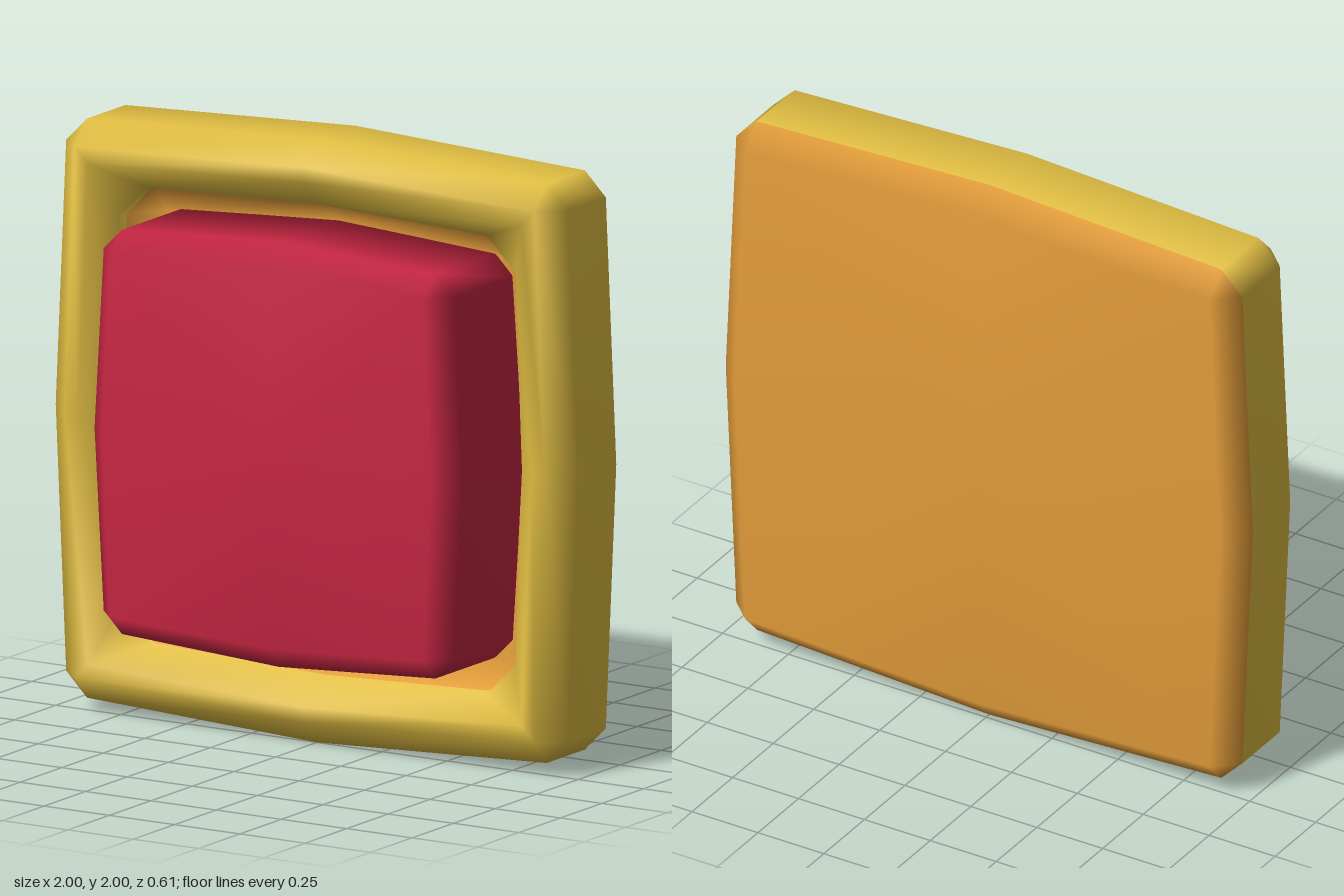
import * as THREE from 'three';
import { mergeVertices } from 'three/addons/utils/BufferGeometryUtils.js';

// Cross-section [mid, a, b, z]: side midpoint at mid, cut corner from (a, b) to (b, a)
function ringPoints([mid, a, b, z]) {
  const pts = [];
  for (let q = 0; q < 4; q++) {
    const c = [1, 0, -1, 0][q], s = [0, 1, 0, -1][q];
    for (const [x, y] of [[mid, 0], [a, b], [b, a]]) pts.push(x * c - y * s, x * s + y * c, z);
  }
  return pts;
}

// Joins the sections into one smooth skin; mats[i] is the material of band i
function loft(sections, mats) {
  const n = 12, index = [];
  const geo = new THREE.BufferGeometry();
  geo.setAttribute('position', new THREE.Float32BufferAttribute(sections.flatMap(ringPoints), 3));
  for (let r = 0; r < sections.length - 1; r++) {
    geo.addGroup(index.length, n * 6, mats[r]);
    for (let i = 0; i < n; i++) {
      const a = r * n + i, b = r * n + (i + 1) % n;
      index.push(a, b, b + n, a, b + n, a + n);
    }
  }
  geo.setIndex(index);
  const merged = mergeVertices(geo, 1e-4);
  merged.computeVertexNormals();
  return merged;
}

export function createModel() {
  const yellow = new THREE.MeshStandardMaterial({ color: 0xe0bd42 });
  yellow.name = 'golden yellow';
  const orange = new THREE.MeshStandardMaterial({ color: 0xe29c3a });
  orange.name = 'orange';
  const red = new THREE.MeshStandardMaterial({ color: 0xc62642 });
  red.name = 'crimson';

  const group = new THREE.Group();

  // Frame: orange back, yellow rim, orange recess
  const frame = new THREE.Mesh(loft([
    [0, 0, 0, -0.305],
    [0.92, 0.88, 0.88, -0.305],
    [1, 0.96, 0.88, -0.23],
    [1, 0.96, 0.88, 0],
    [0.92, 0.88, 0.88, 0.075],
    [0.87, 0.83, 0.83, 0.075],
    [0.785, 0.76, 0.65, 0],
    [0.785, 0.76, 0.65, -0.05],
    [0.71, 0.66, 0.66, -0.13],
    [0, 0, 0, -0.13],
  ], [1, 1, 0, 0, 0, 0, 0, 1, 1]), [yellow, orange]);
  frame.name = 'frame';
  frame.position.y = 1;

  // Raised button seated in the recess
  const button = new THREE.Mesh(loft([
    [0, 0, 0, -0.13],
    [0.705, 0.67, 0.6, -0.13],
    [0.705, 0.67, 0.6, 0.23],
    [0.63, 0.6, 0.6, 0.305],
    [0, 0, 0, 0.305],
  ], [0, 0, 0, 0]), [red]);
  button.name = 'button';
  button.position.y = 1;

  group.add(frame, button);
  return group;
}
